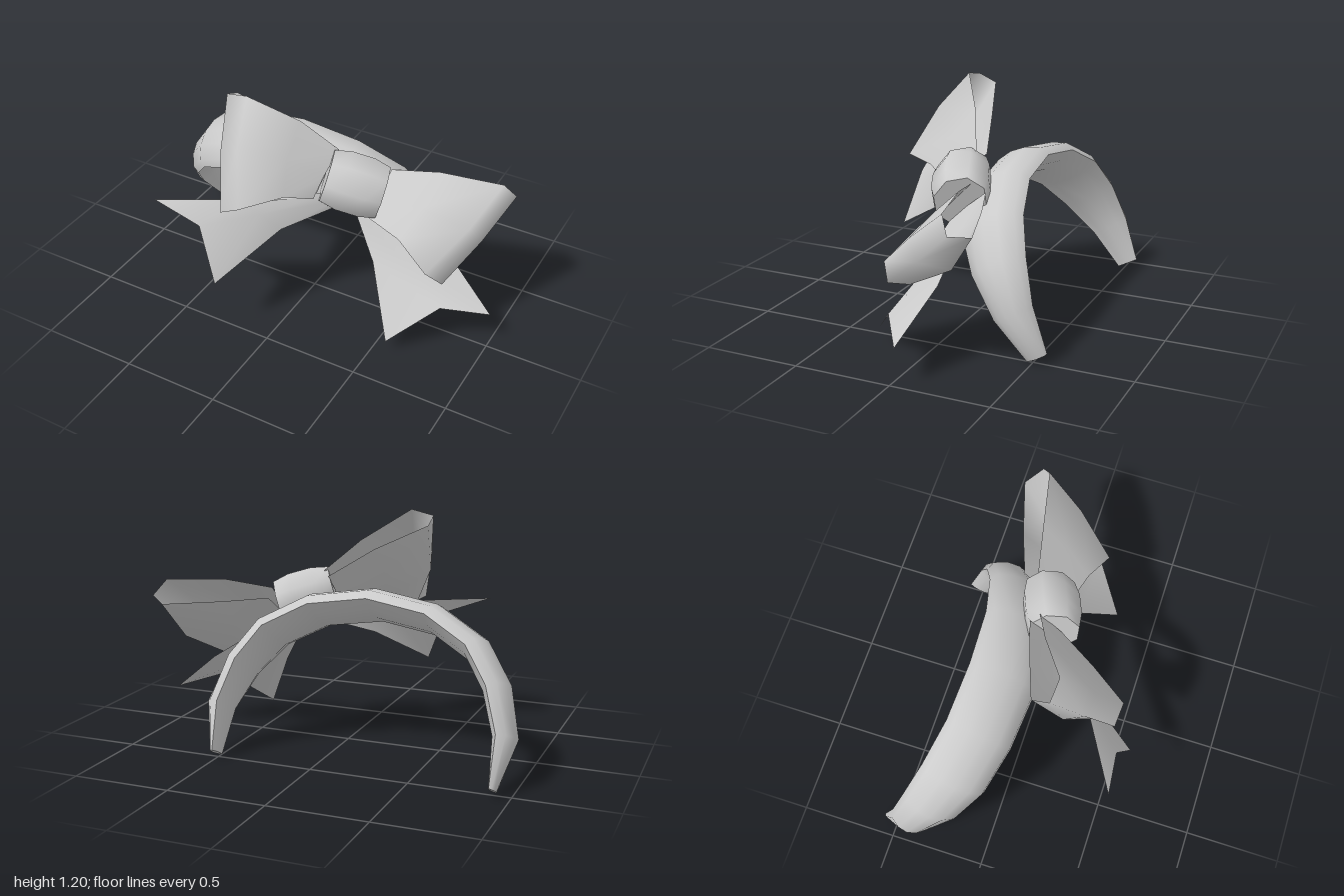
import * as THREE from 'three';
import { toCreasedNormals } from 'three/addons/utils/BufferGeometryUtils.js';

const V = (x, y, z) => new THREE.Vector3(x, y, z);
const material = new THREE.MeshStandardMaterial({ color: 0xcccccc, side: THREE.DoubleSide });

// Skin a row of cross-sections; a closed skin wraps round and gets end caps
function loft(name, rings, closed, crease) {
  const n = rings[0].length, last = (rings.length - 1) * n, index = [];
  for (let i = 0; i < rings.length - 1; i++) {
    for (let j = 0; j < (closed ? n : n - 1); j++) {
      const k = (j + 1) % n;
      const a = i * n + j, b = i * n + k, c = b + n, d = a + n;
      index.push(a, b, d, b, c, d);
    }
  }
  if (closed) {
    for (let j = 1; j < n - 1; j++) {
      index.push(0, j + 1, j, last, last + j, last + j + 1);
    }
  }
  const geometry = new THREE.BufferGeometry().setFromPoints(rings.flat());
  geometry.setIndex(index);
  const mesh = new THREE.Mesh(toCreasedNormals(geometry, crease), material);
  mesh.name = name;
  return mesh;
}

// Tapered headband, leaning back, with a crowned outer face and rounded inner face
function headband() {
  // sideways offset, height, half width, thickness factor
  const half = [
    [0.715, 0.035, 0.06, 0.25], [0.75, 0.25, 0.11, 0.9], [0.68, 0.45, 0.155, 1],
    [0.55, 0.615, 0.18, 1], [0.315, 0.735, 0.185, 1],
  ];
  const stations = [
    ...half.map(([x, ...r]) => [-x, ...r]), [0, 0.78, 0.19, 1], ...half.slice().reverse(),
  ];
  // position across the band, distance out from its centre line
  const section = [
    [1, -0.045], [0.88, 0.005], [0.45, 0.04], [0, 0.05], [-0.45, 0.035], [-0.88, -0.005],
    [-1, -0.045], [-0.55, -0.075], [0, -0.085], [0.55, -0.075],
  ];
  const across = V(0, 0.47, -0.88).normalize();
  const centres = stations.map(([x, y]) => V(x - 0.205, y, -0.52 + 0.56 * (y - 0.03)));
  const rings = stations.map(([, , w, k], i) => {
    const before = centres[Math.max(i - 1, 0)];
    const after = centres[Math.min(i + 1, centres.length - 1)];
    const normal = after.clone().sub(before).cross(across).normalize();
    return section.map(([s, t]) =>
      centres[i].clone().addScaledVector(across, s * w).addScaledVector(normal, t * k));
  });
  return loft('headband', rings, true, 1.1);
}

// Barrel-shaped knot wrapped round the slanted line of the bow
function knot() {
  const axis = V(0.893, -0.272, -0.357).normalize();
  const out = axis.clone().cross(V(-0.23, 0.82, -0.52)).normalize();
  const up = out.clone().cross(axis);
  const rings = [[-0.145, 0.135], [-0.06, 0.155], [0.06, 0.155], [0.145, 0.135]].map(([a, r]) =>
    Array.from({ length: 8 }, (_, j) => {
      const t = ((j + 0.5) / 8) * Math.PI * 2;
      return V(0.225, 0.745, 0).addScaledVector(axis, a)
        .addScaledVector(up, -r * Math.sin(t) * 1.05)
        .addScaledVector(out, r * Math.cos(t) * 0.95);
    }));
  return loft('knot', rings, true, 0.9);
}

// Ribbon folded back on itself, open above and below: each row is one line across
// the ribbon (upper edge, middle, lower edge), from the knot round the fold and back
const ribbonLoop = (name, rows) => loft(name, rows, false, Math.PI);

// Flat ribbon tail with a notched end, rows as above
const tail = (name, rows) => loft(name, rows, false, 0.9);

export function createModel() {
  const model = new THREE.Group();
  model.name = 'bowHeadband';

  const bow = new THREE.Group();
  bow.name = 'bow';
  bow.add(
    knot(),
    ribbonLoop('rightLoop', [
      [V(0.12, 0.90, -0.03), V(0.10, 0.80, 0.09), V(0.08, 0.70, 0.16)],
      [V(-0.05, 1.055, 0.05), V(-0.05, 0.91, 0.19), V(-0.01, 0.76, 0.29)],
      [V(-0.27, 1.205, 0.19), V(-0.23, 1.02, 0.35), V(-0.15, 0.76, 0.49)],
      [V(-0.39, 1.18, 0.18), V(-0.335, 0.96, 0.34), V(-0.26, 0.70, 0.48)],
      [V(-0.39, 1.14, 0.09), V(-0.36, 0.89, 0.24), V(-0.24, 0.69, 0.40)],
      [V(-0.14, 1.02, 0.0), V(-0.16, 0.86, 0.12), V(-0.1, 0.70, 0.28)],
      [V(0.08, 0.88, -0.07), V(0.08, 0.78, 0.03), V(0.07, 0.69, 0.12)],
    ].reverse()),
    ribbonLoop('leftLoop', [
      [V(0.37, 0.81, -0.12), V(0.36, 0.71, -0.02), V(0.33, 0.62, 0.06)],
      [V(0.61, 0.845, -0.17), V(0.58, 0.71, -0.02), V(0.53, 0.585, 0.11)],
      [V(0.92, 0.835, -0.235), V(0.84, 0.67, -0.03), V(0.71, 0.485, 0.175)],
      [V(0.975, 0.755, -0.285), V(0.89, 0.58, -0.09), V(0.78, 0.41, 0.12)],
      [V(0.88, 0.73, -0.36), V(0.82, 0.54, -0.23), V(0.70, 0.385, 0.045)],
      [V(0.58, 0.75, -0.27), V(0.57, 0.62, -0.13), V(0.56, 0.50, 0.02)],
      [V(0.36, 0.77, -0.19), V(0.34, 0.69, -0.09), V(0.31, 0.61, 0.01)],
    ]),
    tail('rightTail', [
      [V(-0.60, 0.70, 0.55), V(-0.36, 0.61, 0.525), V(-0.245, 0.33, 0.585)],
      [V(-0.22, 0.70, 0.33), V(-0.14, 0.62, 0.31), V(-0.05, 0.53, 0.26)],
      [V(0.15, 0.72, 0.08), V(0.16, 0.67, 0.08), V(0.17, 0.63, 0.06)],
    ]),
    tail('leftTail', [
      [V(0.36, 0.64, -0.1), V(0.32, 0.62, -0.02), V(0.26, 0.60, 0.04)],
      [V(0.72, 0.41, -0.11), V(0.55, 0.39, 0.03), V(0.39, 0.38, 0.095)],
      [V(0.995, 0.195, -0.025), V(0.78, 0.255, 0.12), V(0.57, 0.075, 0.29)],
    ]),
  );

  model.add(headband(), bow);
  return model;
}
